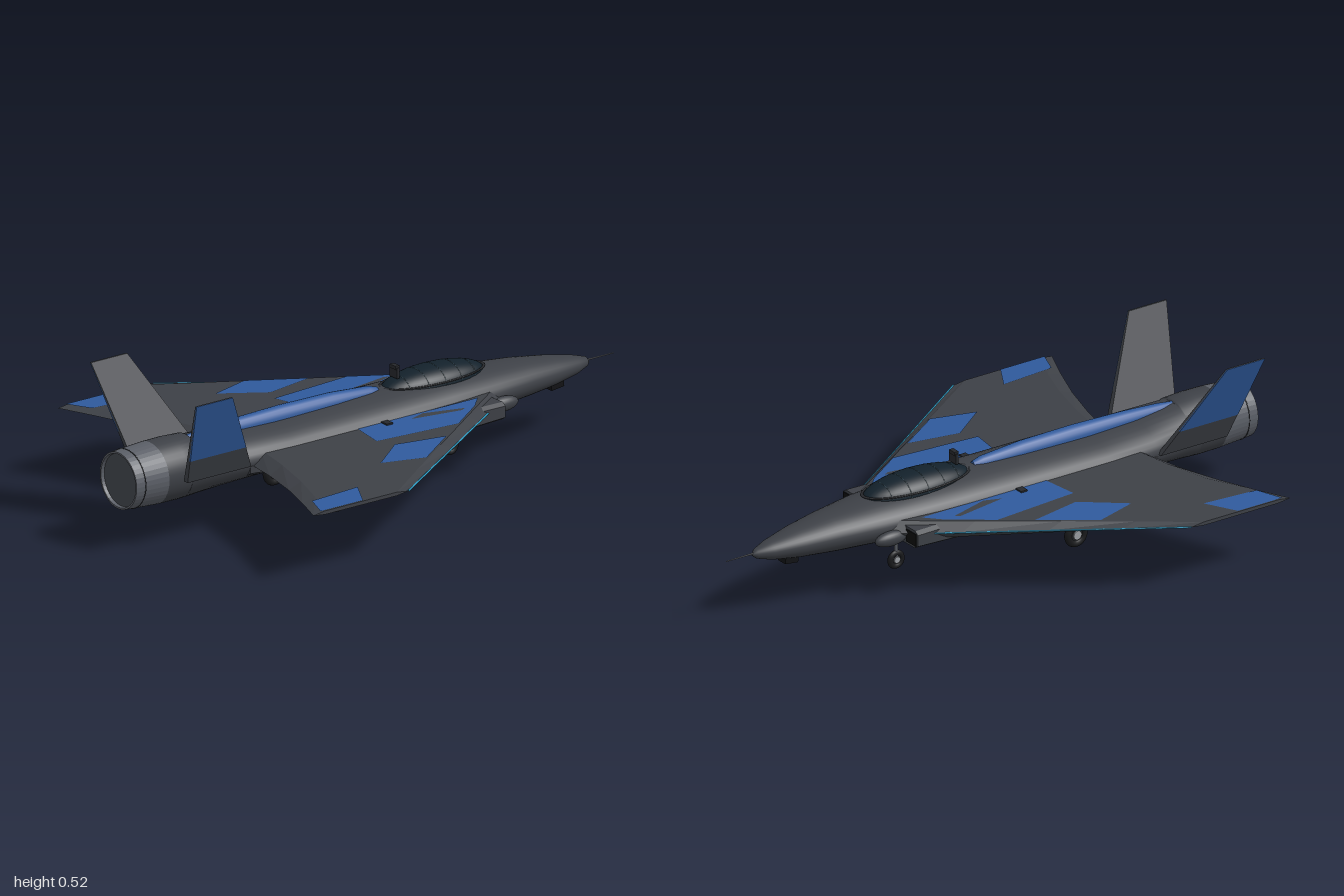
import * as THREE from 'three';

const mat = (color, side = THREE.FrontSide, flatShading = false) =>
  new THREE.MeshStandardMaterial({ color, side, flatShading });
const BODY = 0x3d4046, DARK = 0x26282c, BLUE = 0x2f5a9c, METAL = 0x5a5e66, CYAN = 0x2f9fc8;

function add(parent, name, geometry, color, pos = [0, 0, 0], rot = [0, 0, 0]) {
  const m = new THREE.Mesh(geometry, mat(color));
  m.name = name;
  m.position.set(...pos);
  m.rotation.set(...rot);
  parent.add(m);
  return m;
}

// Skin a row of closed rings (counter-clockwise about the direction of travel), with end caps
function loft(rings, flat = false) {
  const n = rings[0].length, pos = rings.flat(2), idx = [];
  for (let i = 0; i < rings.length - 1; i++)
    for (let j = 0; j < n; j++) {
      const k = (j + 1) % n, a = i * n + j, b = i * n + k;
      idx.push(a, b, b + n, a, b + n, a + n);
    }
  [rings[0], rings[rings.length - 1]].forEach((ring, e) => {
    const base = pos.length / 3;
    pos.push(...ring.flat());
    for (let j = 1; j < n - 1; j++)
      idx.push(base, base + (e ? j : j + 1), base + (e ? j + 1 : j));
  });
  let g = new THREE.BufferGeometry();
  g.setAttribute('position', new THREE.Float32BufferAttribute(pos, 3));
  g.setIndex(idx);
  if (flat) g = g.toNonIndexed();
  g.computeVertexNormals();
  return g;
}

// Egg-shaped section: half width w, widest at height mid, between bottom and top
function section(z, w, bottom, mid, top, n = 36) {
  return Array.from({ length: n }, (_, i) => {
    const a = (i / n) * Math.PI * 2, s = Math.sin(a);
    return [w * Math.cos(a), mid + s * (s > 0 ? top - mid : mid - bottom), z];
  });
}

const lerp = THREE.MathUtils.lerp;
const wingTop = (x) => 0.252 - (x - 0.1) * 0.029;
const wingLead = (x) => -0.4 + (x - 0.15) * 1.5;

function wingRing([x, trail]) {
  const lead = wingLead(x), t = (x - 0.1) / 0.55, top = wingTop(x), bot = lerp(0.185, 0.224, t);
  const mid = (top + bot) / 2, c = Math.min(0.05, (trail - lead) * 0.12);
  return [[x, top, lead + c], [x, top, trail - c], [x, mid, trail],
    [x, bot, trail - c], [x, bot, lead + c], [x, mid, lead]];
}

// Fin section at fraction t of its height, between offsets a and b from the mid plane
function finRing(t, a, b) {
  const x = lerp(0.14, 0.268, t), y = lerp(0.225, 0.525, t);
  const lead = lerp(0.585, 0.755, t), trail = lerp(0.84, 0.9, t);
  return [[x + b, y, trail], [x + b, y, lead], [x + a, y, lead], [x + a, y, trail]];
}

// Flat painted panel lying on the upper wing surface
function wingPanel(points) {
  const g = new THREE.ShapeGeometry(new THREE.Shape(points.map(([x, z]) => new THREE.Vector2(x, -z))));
  g.rotateX(-Math.PI / 2);
  const p = g.attributes.position;
  for (let i = 0; i < p.count; i++) p.setY(i, wingTop(p.getX(i)) + 0.002);
  g.computeVertexNormals();
  return g;
}

function landingGear(name, x, z, radius, width) {
  const g = new THREE.Group();
  g.name = name;
  const flat = [0, 0, Math.PI / 2], y = radius + (x ? 0.004 : 0.023);
  const tyre = new THREE.TorusGeometry(radius * 0.7, radius * 0.3, 10, 28).scale(1, 1, width / (radius * 0.6));
  add(g, 'tyre', tyre, 0x18191b, [0, y, 0], [0, Math.PI / 2, 0]);
  add(g, 'wheelDisc', new THREE.CylinderGeometry(radius * 0.7, radius * 0.7, width * 0.6, 24), DARK, [0, y, 0], flat);
  add(g, 'hub', new THREE.CylinderGeometry(radius * 0.35, radius * 0.35, width * 1.05, 16), 0x9a9da2, [0, y, 0], flat);
  add(g, 'strut', new THREE.CylinderGeometry(0.006, 0.006, 0.19 - y, 12), METAL, [0, (0.19 + y) / 2, 0]);
  add(g, 'strutSleeve', new THREE.CylinderGeometry(0.01, 0.01, 0.05, 12), DARK, [0, 0.16, 0]);
  add(g, 'gearDoor', new THREE.BoxGeometry(x ? 0.055 : 0.04, 0.005, 0.06), BODY, [0, 0.132, -0.035], [0.15, 0, 0]);
  if (x) add(g, 'gearMount', new THREE.BoxGeometry(0.035, 0.035, 0.04), DARK, [0, 0.172, 0]);
  g.position.set(x, 0, z);
  return g;
}

// Everything that exists once on each side, built for +x
function buildSide() {
  const side = new THREE.Group();
  add(side, 'wing', loft([[0.1, 0.56], [0.25, 0.59], [0.4, 0.632], [0.53, 0.68], [0.65, 0.73]].map(wingRing), true), BODY);
  const edge = new THREE.LineCurve3(new THREE.Vector3(0.16, 0.218, wingLead(0.16)),
    new THREE.Vector3(0.65, 0.23, wingLead(0.65)));
  add(side, 'leadingEdge', new THREE.TubeGeometry(edge, 1, 0.003, 6), CYAN);

  const panels = [
    [[0.14, -0.33], [0.19, -0.28], [0.285, -0.14], [0.26, 0.17], [0.14, 0.15]],
    [[0.35, -0.04], [0.465, 0.13], [0.42, 0.28], [0.315, 0.14]],
    [[0.545, 0.47], [0.648, 0.53], [0.648, 0.7], [0.56, 0.665]],
  ];
  panels.forEach((p) => add(side, 'wingPanel', wingPanel(p), BLUE));
  // dark band across the inner panel
  add(side, 'panelBand', wingPanel([[0.15, -0.1], [0.19, -0.24], [0.2, -0.22], [0.17, -0.04]]).translate(0, 0.001, 0), BODY);

  // canted tail fin with a coloured outer skin
  add(side, 'tailFin', loft([finRing(0, -0.01, 0.01), finRing(1, -0.003, 0.003)], true), BODY);
  add(side, 'finPanel', loft([finRing(0.28, 0.004, 0.0095), finRing(0.998, 0.001, 0.0045)], true), BLUE);

  // air intake, its duct under the wing and the bulge ahead of it
  const duct = [[-0.39, 0.205, 0.18, 0.24], [-0.2, 0.2, 0.17, 0.24], [0.2, 0.185, 0.168, 0.235], [0.58, 0.14, 0.185, 0.23]]
    .map(([z, out, b, t]) => [[out, b + 0.012, z], [out, t - 0.01, z], [out - 0.015, t, z],
      [0.08, t, z], [0.08, b, z], [out - 0.02, b, z]]);
  add(side, 'intakeDuct', loft(duct, true), BODY);
  add(side, 'intakeMouth', new THREE.BoxGeometry(0.055, 0.042, 0.004), 0x0c0d0e, [0.17, 0.21, -0.391]);
  add(side, 'intakeBulge', new THREE.SphereGeometry(1, 20, 12).scale(0.022, 0.025, 0.06), BODY, [0.128, 0.205, -0.44]);
  add(side, 'wingRootFitting', new THREE.BoxGeometry(0.03, 0.014, 0.025), DARK, [0.155, 0.25, 0.045]);
  side.add(landingGear('mainGear', 0.16, 0.25, 0.043, 0.022));
  return side;
}

export function createModel() {
  const model = new THREE.Group();
  model.name = 'jetAircraft';

  const hull = [
    [-0.885, 0.002, 0.216, 0.218, 0.22], [-0.87, 0.018, 0.203, 0.218, 0.235], [-0.82, 0.04, 0.188, 0.219, 0.25],
    [-0.72, 0.068, 0.174, 0.222, 0.27], [-0.6, 0.092, 0.165, 0.225, 0.287], [-0.45, 0.119, 0.16, 0.227, 0.3],
    [-0.25, 0.139, 0.156, 0.228, 0.308], [0, 0.147, 0.154, 0.228, 0.308], [0.4, 0.148, 0.153, 0.228, 0.302],
    [0.58, 0.14, 0.146, 0.227, 0.305], [0.73, 0.112, 0.13, 0.226, 0.316], [0.78, 0.103, 0.124, 0.226, 0.326],
  ].map((s) => section(...s));
  add(model, 'fuselage', loft(hull), BODY);

  // raised spine behind the canopy
  const spine = [[-0.035, 0.014, 0.315], [0, 0.024, 0.325], [0.15, 0.031, 0.336], [0.35, 0.032, 0.338],
    [0.55, 0.028, 0.333], [0.68, 0.022, 0.325], [0.74, 0.012, 0.318]].map(([z, w, t]) => section(z, w, 0.28, 0.297, t, 20));
  add(model, 'spine', loft(spine), BLUE);

  // engine nozzle, turned about the long axis
  const turned = (pts) => new THREE.LatheGeometry(pts.map(([r, z]) => new THREE.Vector2(r, z)), 40).rotateX(Math.PI / 2);
  add(model, 'engineShroud', turned([[0.08, 0.73], [0.1, 0.735], [0.103, 0.8], [0.102, 0.875]]), BODY, [0, 0.226, 0]);
  const nozzle = add(model, 'nozzle', turned([[0.102, 0.875], [0.097, 0.96], [0.094, 1], [0.088, 1], [0.086, 0.985]]), METAL, [0, 0.226, 0]);
  nozzle.material.side = THREE.DoubleSide;
  nozzle.material.flatShading = true;
  add(model, 'nozzleRing', new THREE.TorusGeometry(0.096, 0.002, 8, 40), DARK, [0, 0.226, 0.965]);
  add(model, 'exhaustDisc', new THREE.CircleGeometry(0.088, 40), 0x42464c, [0, 0.226, 0.988]);

  // canopy with hoops and a centre rib
  const canopy = new THREE.Group();
  canopy.name = 'canopy';
  canopy.position.set(0, 0.292, -0.255);
  model.add(canopy);
  add(canopy, 'glass', new THREE.SphereGeometry(1, 36, 14, 0, Math.PI * 2, 0, Math.PI / 2).scale(0.078, 0.053, 0.2), 0x13212b);
  for (const z of [-0.13, -0.065, 0, 0.065, 0.13]) {
    const k = Math.sqrt(1 - (z / 0.2) ** 2);
    add(canopy, 'hoop', new THREE.TorusGeometry(1, 0.018, 4, 20, Math.PI).scale(0.078 * k, 0.053 * k, 0.06), 0x3f5862, [0, 0, z]);
  }
  add(canopy, 'rim', new THREE.TorusGeometry(1, 0.03, 6, 40).rotateX(Math.PI / 2).scale(0.078, 0.1, 0.2), DARK, [0, 0.013, 0]);
  add(canopy, 'headrest', new THREE.BoxGeometry(0.038, 0.035, 0.01), DARK, [0, 0.057, 0.148]);
  add(canopy, 'headrestTop', new THREE.BoxGeometry(0.03, 0.012, 0.016), DARK, [0, 0.075, 0.148]);

  // nose details
  add(model, 'probe', new THREE.CylinderGeometry(0.0015, 0.003, 0.11, 8), METAL, [0, 0.222, -0.93], [-Math.PI / 2, 0, 0]);
  add(model, 'chinSensor', new THREE.BoxGeometry(0.04, 0.02, 0.05), 0x111214, [0, 0.17, -0.745], [0.12, 0, 0]);
  model.add(landingGear('noseGear', 0, -0.33, 0.032, 0.016));

  const left = buildSide(), right = buildSide();
  left.name = 'leftSide';
  right.name = 'rightSide';
  right.scale.x = -1;
  model.add(left, right);
  return model;
}
